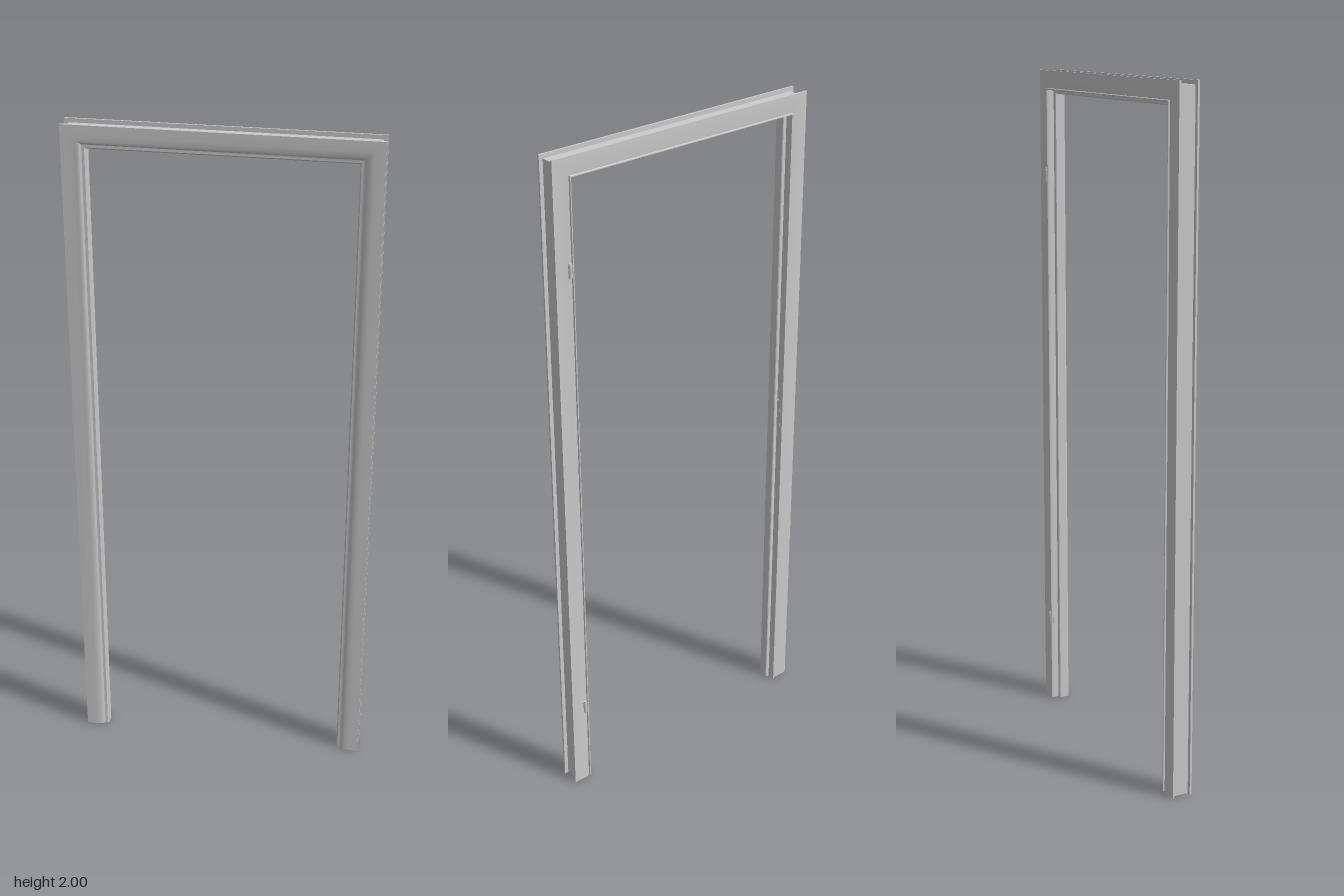
import * as THREE from 'three';
import { toCreasedNormals } from 'three/addons/utils/BufferGeometryUtils.js';

const W = 0.437, H = 2;
const material = new THREE.MeshStandardMaterial({ color: 0xcccccc, side: THREE.DoubleSide });

// Sweep a closed profile [inset, z] up one leg, across the head and down the other, mitred
function sweepFrame(profile) {
  const at = ([d, z], k) => [(k < 2 ? -1 : 1) * (W - d), k === 1 || k === 2 ? H - d : 0, z];
  const pos = [];
  for (let k = 0; k < 3; k++) {
    profile.forEach((p, i) => {
      const q = profile[(i + 1) % profile.length];
      const a = at(p, k), b = at(q, k), c = at(q, k + 1), e = at(p, k + 1);
      pos.push(...a, ...b, ...c, ...a, ...c, ...e);
    });
  }
  const geo = new THREE.BufferGeometry();
  geo.setAttribute('position', new THREE.Float32BufferAttribute(pos, 3));
  return toCreasedNormals(geo, 0.6);
}

function add(group, name, geometry, x = 0, y = 0, z = 0) {
  const mesh = new THREE.Mesh(geometry, material);
  mesh.name = name;
  mesh.position.set(x, y, z);
  group.add(mesh);
  return mesh;
}

export function createModel() {
  const model = new THREE.Group();
  model.name = 'doorFrame';

  // Hollow frame: domed casings front and back, wall groove outside, door stop and rebate inside
  add(model, 'frame', sweepFrame([
    [0, 0.033], [0.03, 0.033], [0.043, 0.032], [0.051, 0.029], [0.056, 0.024],
    [0.064, 0.024], [0.068, 0.02], [0.068, -0.006], [0.066, -0.008],
    [0.056, -0.008], [0.056, -0.022], [0.052, -0.026], [0.046, -0.027],
    [0, -0.027], [0, -0.022], [0.012, -0.022], [0.012, 0.027], [0, 0.027],
  ]));

  // Slim bead along the inner edge of the back casing
  add(model, 'bead', sweepFrame([
    [0.057, -0.02], [0.057, -0.029], [0.056, -0.031], [0.053, -0.031], [0.052, -0.029], [0.052, -0.02],
  ]));

  // Hinges on the left leg: knuckle with end caps and a leaf in the rebate
  for (const y of [0.27, 1.69]) {
    const hinge = new THREE.Group();
    hinge.name = 'hinge';
    hinge.position.y = y;
    add(hinge, 'knuckle', new THREE.CylinderGeometry(0.006, 0.006, 0.034, 16), 0.391, 0, -0.028);
    for (const s of [-1, 1]) {
      add(hinge, 'cap', new THREE.CylinderGeometry(0.0045, 0.0045, 0.004, 16), 0.391, s * 0.019, -0.028);
    }
    add(hinge, 'leaf', new THREE.BoxGeometry(0.002, 0.034, 0.016), 0.3805, 0, -0.017);
    model.add(hinge);
  }

  // Strike plate on the right leg
  add(model, 'strikePlate', new THREE.BoxGeometry(0.002, 0.09, 0.012), -0.3805, 1, -0.015);

  return model;
}
